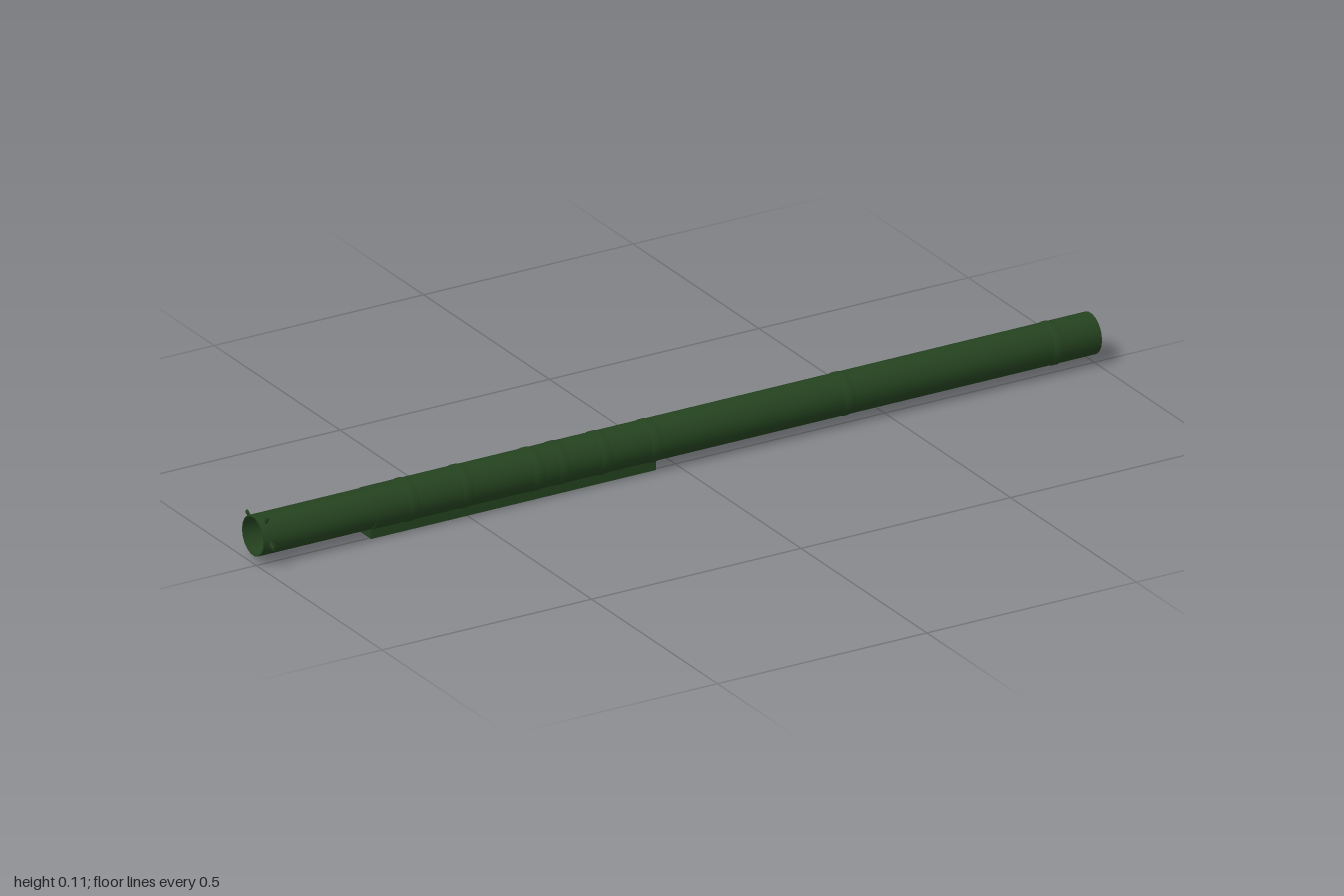
import * as THREE from 'three';
import { toCreasedNormals } from 'three/addons/utils/BufferGeometryUtils.js';

const AXIS_Y = 0.061, AXIS_Z = -0.0135, SIDES = 18;

export function createModel() {
  const model = new THREE.Group();
  const green = new THREE.MeshStandardMaterial({ color: 0x24421f, side: THREE.DoubleSide });

  // Everything round is built around the tube axis
  const tube = new THREE.Group();
  tube.name = 'tubeAssembly';
  tube.position.set(0, AXIS_Y, AXIS_Z);
  model.add(tube);

  function add(parent, name, geometry) {
    const mesh = new THREE.Mesh(geometry, green);
    mesh.name = name;
    parent.add(mesh);
    return mesh;
  }

  // Closed [x, radius] outline spun around the x axis
  function spin(name, outline) {
    const points = [...outline, outline[0]].map(([x, r]) => new THREE.Vector2(r, x));
    const geometry = new THREE.LatheGeometry(points, SIDES);
    geometry.rotateZ(-Math.PI / 2);
    return add(tube, name, toCreasedNormals(geometry, 0.6));
  }

  // Open tube, slightly thinner at the rear
  spin('tube', [
    [-1, 0.0437], [-0.73, 0.0437], [-0.73, 0.045], [1, 0.045], [1, 0.041], [-1, 0.041],
  ]);

  // Low raised bands
  for (const x of [-0.64, -0.51, -0.34, -0.28, -0.18, -0.06, 0.4, 0.9]) {
    spin('band', [
      [x - 0.015, 0.0445], [x - 0.006, 0.0464], [x + 0.006, 0.0464], [x + 0.015, 0.0445],
    ]);
  }

  // Small radial pins near the rear end
  for (const degrees of [56, 146, 213, 350]) {
    const pivot = new THREE.Group();
    pivot.name = 'rearPin';
    pivot.rotation.x = -THREE.MathUtils.degToRad(degrees);
    tube.add(pivot);
    add(pivot, 'pin', new THREE.BoxGeometry(0.004, 0.007, 0.018)).position.set(-0.985, 0, 0.052);
  }

  // Thin tapered spike on the front side
  const spike = add(tube, 'spike', new THREE.ConeGeometry(0.002, 0.034, 6));
  spike.rotation.x = Math.PI / 2;
  spike.position.set(-0.985, -0.001, 0.0595);

  // Long rail under the tube
  add(model, 'rail', new THREE.BoxGeometry(0.68, 0.021, 0.04)).position.set(-0.39, 0.0105, AXIS_Z);

  return model;
}
